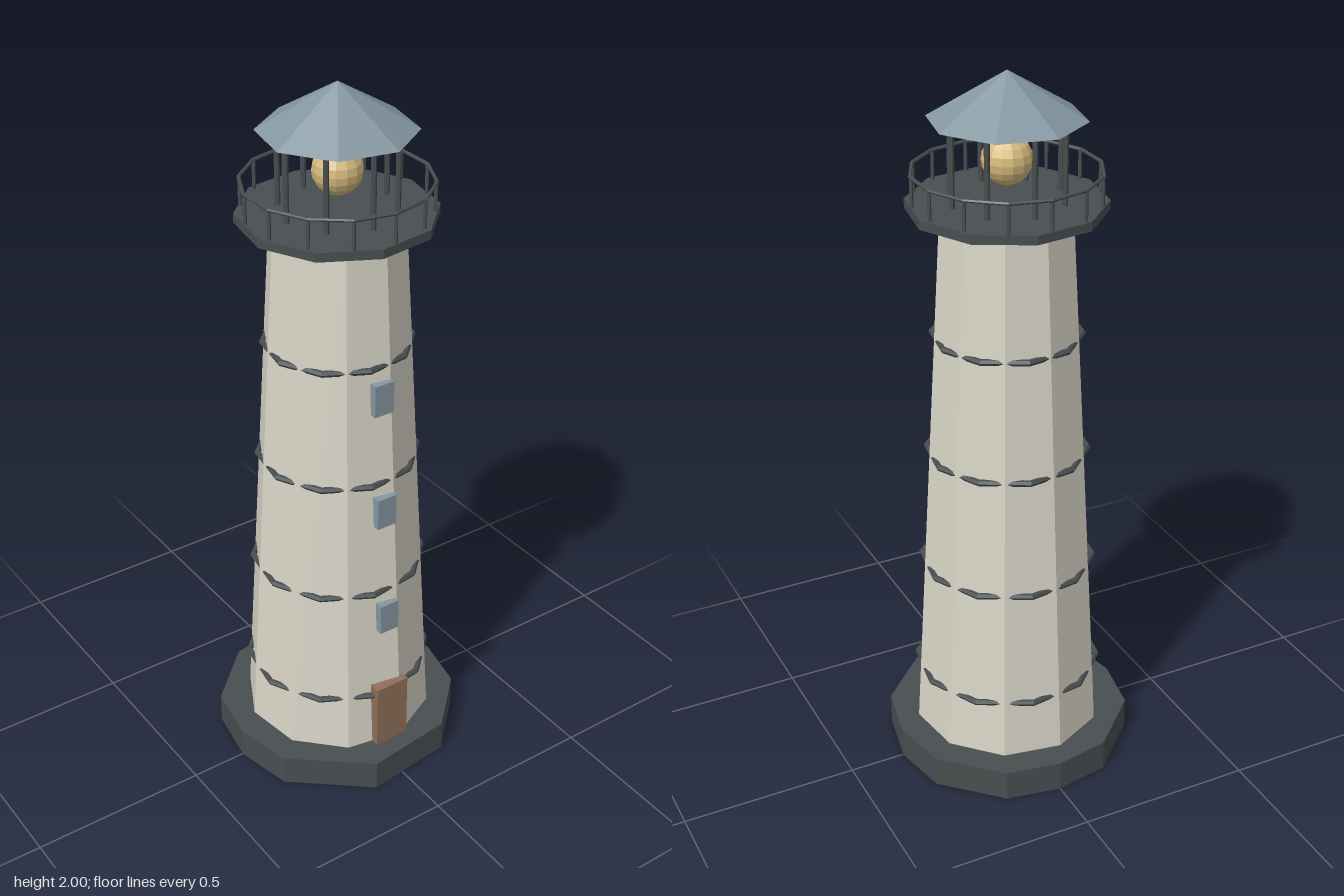
import * as THREE from 'three';

const paint = (name, color) => Object.assign(new THREE.MeshStandardMaterial({ color }), { name });
const rad = THREE.MathUtils.degToRad;

export function createModel() {
  const model = new THREE.Group();
  model.name = 'lighthouse';
  const plaster = paint('pale plaster', 0xd9d5c7);
  const iron = paint('dark iron', 0x494e50);
  const slate = paint('blue slate', 0x8497a0);
  const wood = paint('door wood', 0x8f7058);
  const glow = paint('lamp yellow', 0xd6b97c);

  // Faceted mesh helper
  function add(name, geometry, material, x = 0, y = 0, z = 0, parent = model) {
    const geo = geometry.index ? geometry.toNonIndexed() : geometry;
    geo.computeVertexNormals();
    const mesh = new THREE.Mesh(geo, material);
    mesh.name = name;
    mesh.position.set(x, y, z);
    parent.add(mesh);
    return mesh;
  }
  // Prism between two heights, first corner at the given angle from +x toward +z
  function prism(name, top, bottom, y0, y1, sides, angle, material) {
    const geo = new THREE.CylinderGeometry(top, bottom, y1 - y0, sides, 1, false, rad(90 - angle));
    return add(name, geo, material, 0, (y0 + y1) / 2, 0);
  }
  // Horizontal faceted ring
  function ring(name, radius, tube, y, sides, angle) {
    const geo = new THREE.TorusGeometry(radius, tube, 6, sides);
    geo.rotateZ(rad(angle)).rotateX(Math.PI / 2);
    return add(name, geo, iron, 0, y, 0);
  }
  // Circle of upright posts
  function posts(name, count, radius, thickness, y0, y1) {
    const group = new THREE.Group();
    group.name = name + 's';
    for (let i = 0; i < count; i++) {
      const a = (i / count) * Math.PI * 2;
      add(name, new THREE.CylinderGeometry(thickness, thickness, y1 - y0, 6), iron,
        Math.sin(a) * radius, (y0 + y1) / 2, Math.cos(a) * radius, group);
    }
    model.add(group);
  }

  // Rough-hewn foundation
  const outline = [[0.34, 0], [0.305, 0.165], [0.157, 0.31], [-0.1, 0.34], [-0.305, 0.168], [-0.34, 0],
    [-0.31, -0.165], [-0.155, -0.312], [0, -0.34], [0.155, -0.312], [0.307, -0.163]];
  const plan = new THREE.Shape(outline.map(([x, z]) => new THREE.Vector2(x, -z)));
  add('foundation', new THREE.ExtrudeGeometry(plan, { depth: 0.09, bevelEnabled: false }).rotateX(-Math.PI / 2), iron);

  // Tapered tower with bands that dip inside its corners
  const towerRadius = (y) => 0.27 - 0.09 * (y - 0.09) / 1.55;
  prism('tower', 0.18, 0.27, 0.09, 1.64, 10, 10, plaster);
  for (const y of [0.26, 0.602, 0.946, 1.29]) ring('band', towerRadius(y), 0.009, y, 10, 28);

  // Door and windows
  add('door', new THREE.BoxGeometry(0.104, 0.2, 0.035), wood, 0, 0.19, 0.2575);
  for (const y of [0.518, 0.86, 1.202]) {
    add('window', new THREE.BoxGeometry(0.06, 0.092, 0.04), slate, 0, y, towerRadius(y) - 0.011);
  }

  // Gallery deck and railing
  prism('galleryDeck', 0.265, 0.265, 1.637, 1.662, 10, 28, iron);
  posts('railPost', 14, 0.248, 0.005, 1.66, 1.742);
  ring('handrail', 0.25, 0.005, 1.742, 14, 90);

  // Lantern room
  posts('lanternPost', 8, 0.155, 0.0075, 1.66, 1.885);
  add('lamp', new THREE.SphereGeometry(0.067, 14, 10), glow, 0, 1.77, 0);
  const roof = new THREE.ConeGeometry(0.208, 0.125, 8, 1, false, rad(90 - 34));
  add('roof', roof, slate, 0, 1.9375, 0);

  return model;
}
